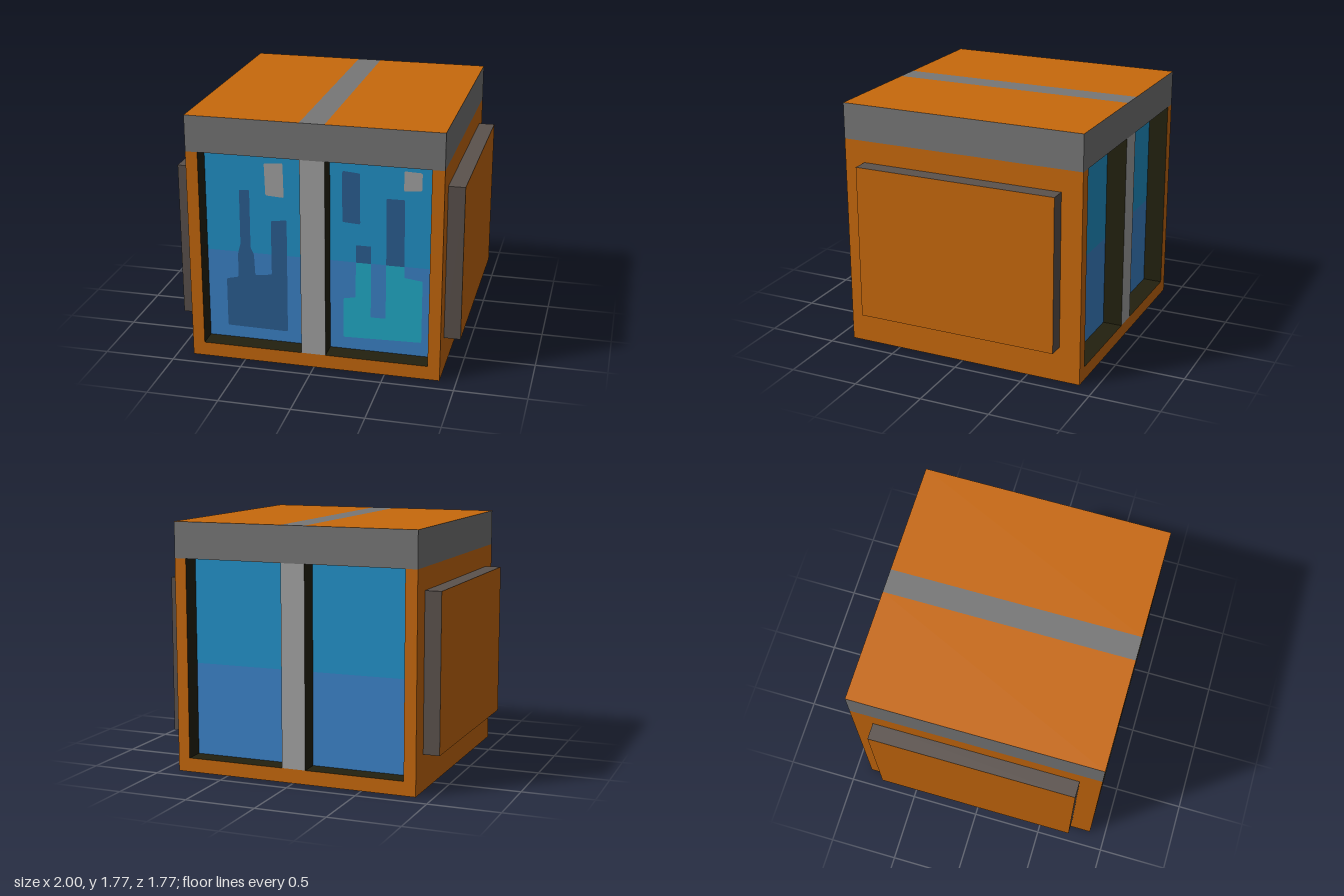
import * as THREE from 'three';

function mat(name, color) {
  const m = new THREE.MeshStandardMaterial({ color });
  m.name = name;
  return m;
}

export function createModel() {
  const orange = mat('orange shell', 0xc8690c);
  const grey = mat('mid grey trim', 0x777777);
  const lightGrey = mat('light grey', 0xa5a5a5);
  const black = mat('recess black', 0x23210f);
  const brown = mat('panel edge brown', 0x5b524d);
  const sky = mat('upper blue', 0x2193cb);
  const water = mat('lower blue', 0x3c84cb);
  const navy = mat('dark blue', 0x2b5f93);
  const teal = mat('teal', 0x22aecb);

  const model = new THREE.Group();
  model.name = 'cubeTank';

  const H = 0.885;      // half width of the cube
  const FLOOR = 0.1;    // top of the floor
  const BAND = 1.515;   // bottom of the grey band
  const TOP = 1.77;
  const SPLIT = 0.76;   // line between the two blues
  const GLASS = 0.745;  // depth of the recessed panes
  const L = -0.09, R = 0.083; // sides of the centre strip

  // Box between two corners; materials in the order +x -x +y -y +z -z
  function box(name, [x0, y0, z0], [x1, y1, z1], material, parent = model) {
    const mesh = new THREE.Mesh(new THREE.BoxGeometry(x1 - x0, y1 - y0, z1 - z0), material);
    mesh.position.set((x0 + x1) / 2, (y0 + y1) / 2, (z0 + z1) / 2);
    mesh.name = name;
    parent.add(mesh);
    return mesh;
  }

  // Floor and roof in three strips, the middle one grey on its outside
  const strips = [['Right', -H, L, orange], ['Middle', L, R, grey], ['Left', R, H, orange]];
  for (const [side, x0, x1, face] of strips) {
    box('floor' + side, [x0, 0, -H], [x1, FLOOR, H], [orange, orange, black, face, orange, orange]);
    box('roof' + side, [x0, BAND, -H], [x1, TOP, H], [grey, grey, face, black, grey, grey]);
  }

  // Side walls with dark inner faces, and the raised panels on them
  for (const s of [-1, 1]) {
    const side = s > 0 ? 'Left' : 'Right';
    const span = (a, b) => (s > 0 ? [a, b] : [-b, -a]);
    const [w0, w1] = span(0.8, H);
    const wall = [orange, orange, orange, orange, orange, orange];
    wall[s > 0 ? 1 : 0] = black;
    box('wall' + side, [w0, FLOOR, -H], [w1, BAND, H], wall);

    const [p0, p1] = span(H, 1);
    const panel = [brown, brown, brown, brown, brown, brown];
    panel[s > 0 ? 0 : 1] = orange;
    box('sidePanel' + side, [p0, 0.255, -0.735], [p1, 1.36, 0.735], panel);
  }

  // Recessed panes, front and back, and the post across them
  box('paneUpper', [-0.8, SPLIT, -GLASS], [0.8, BAND, GLASS], sky);
  box('paneLower', [-0.8, FLOOR, -GLASS], [0.8, SPLIT, GLASS], water);
  box('centrePost', [L, FLOOR, -H], [R, BAND, H],
    [black, black, lightGrey, lightGrey, lightGrey, lightGrey]);

  // Painted shapes on the front panes
  const scene = new THREE.Group();
  scene.name = 'paintedScene';
  scene.position.z = GLASS + 0.004;
  model.add(scene);

  // Flat outline with slightly rounded corners
  function paint(name, points, material, r = 0.012) {
    const shape = new THREE.Shape();
    const v = points.map(([x, y]) => new THREE.Vector2(x, y));
    v.forEach((p, i) => {
      const a = v[(i + v.length - 1) % v.length], b = v[(i + 1) % v.length];
      const start = p.clone().add(a.clone().sub(p).setLength(r));
      const end = p.clone().add(b.clone().sub(p).setLength(r));
      if (i) shape.lineTo(start.x, start.y);
      else shape.moveTo(start.x, start.y);
      shape.quadraticCurveTo(p.x, p.y, end.x, end.y);
    });
    shape.closePath();
    const mesh = new THREE.Mesh(new THREE.ShapeGeometry(shape, 4), material);
    mesh.name = name;
    scene.add(mesh);
  }

  paint('towerSilhouette', [
    [-0.665, 0.19], [-0.225, 0.185], [-0.222, 1.025], [-0.335, 1.01], [-0.335, 0.61],
    [-0.455, 0.595], [-0.462, 0.75], [-0.485, 0.80], [-0.485, 1.225], [-0.558, 1.22],
    [-0.558, 0.82], [-0.577, 0.75], [-0.58, 0.57], [-0.665, 0.55],
  ], navy);
  paint('darkBlockHigh', [[0.17, 1.05], [0.295, 1.042], [0.292, 1.405], [0.17, 1.415]], navy);
  paint('darkBlockSmall', [[0.265, SPLIT], [0.372, SPLIT], [0.372, 0.888], [0.265, 0.888]], navy, 0.006);
  paint('darkBlockTall', [[0.477, SPLIT], [0.603, SPLIT], [0.6, 1.242], [0.475, 1.242]], navy, 0.006);
  paint('tealSilhouette', [
    [0.18, 0.19], [0.73, 0.205], [0.73, 0.665], [0.603, 0.68], [0.603, SPLIT], [0.477, SPLIT],
    [0.477, 0.36], [0.372, 0.36], [0.372, SPLIT], [0.265, SPLIT], [0.265, 0.5], [0.18, 0.485],
  ], teal, 0.008);
  paint('greyBlockRight', [[-0.37, 1.195], [-0.24, 1.187], [-0.245, 1.435], [-0.377, 1.425]], lightGrey);
  paint('greyBlockLeft', [[0.592, 1.303], [0.715, 1.315], [0.715, 1.44], [0.592, 1.445]], lightGrey);

  return model;
}
